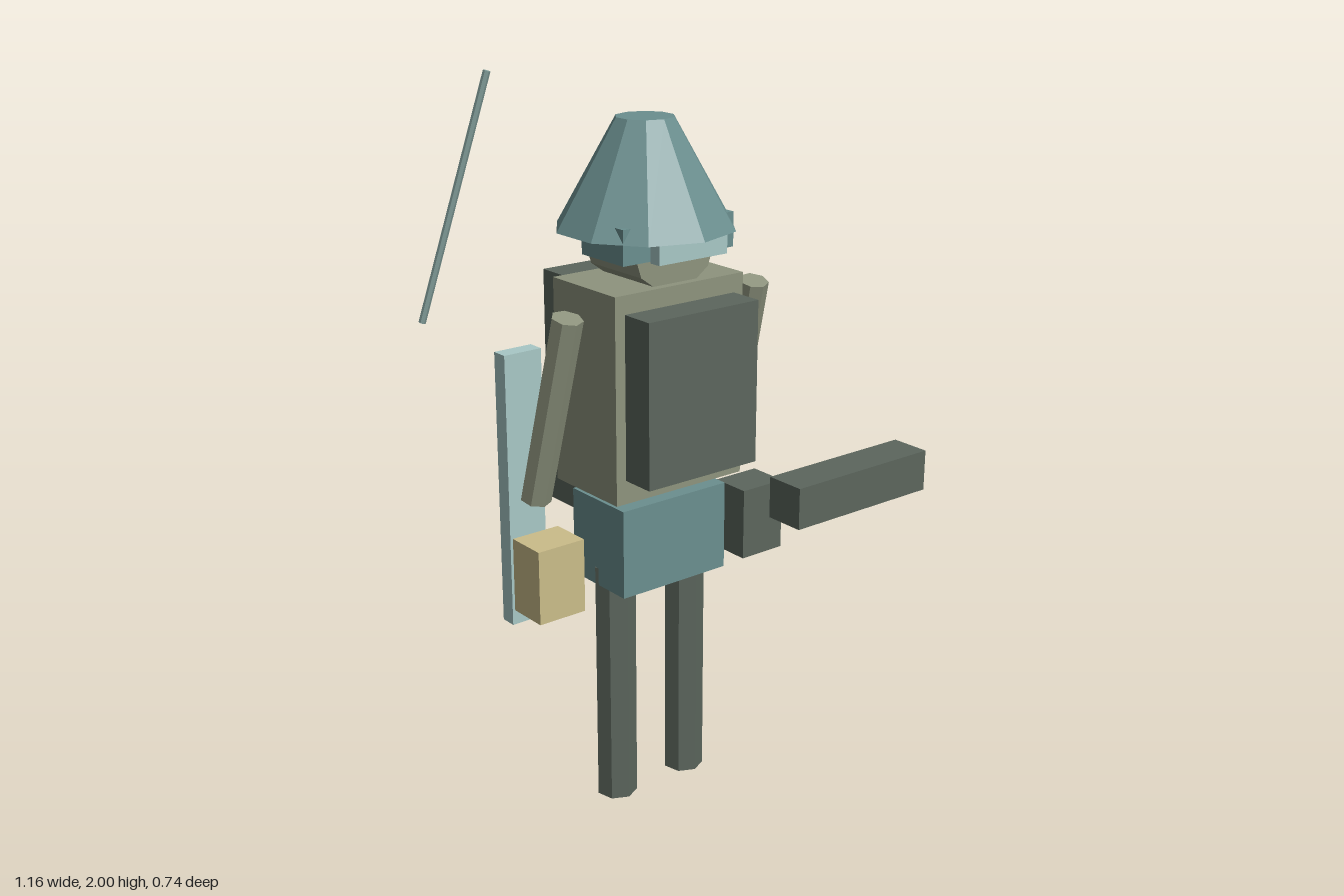
import * as THREE from 'three';

const mat = (color) => new THREE.MeshStandardMaterial({ color, flatShading: true });
const olive = mat(0x8e947e);
const dark = mat(0x5c665d);
const teal = mat(0x6b8f8f);
const pale = mat(0xa8c8c6);
const sand = mat(0xcbbd8a);
const rodGrey = mat(0x84a09c);

const MID = 0.015; // body's plane of symmetry

export function createModel() {
  const model = new THREE.Group();
  model.name = 'soldierFigure';

  const add = (name, geometry, material) => {
    const mesh = new THREE.Mesh(geometry, material);
    mesh.name = name;
    model.add(mesh);
    return mesh;
  };

  // Box given by its [min, max] on each axis
  const box = (name, material, [x0, x1], [y0, y1], [z0, z1]) =>
    add(name, new THREE.BoxGeometry(x1 - x0, y1 - y0, z1 - z0), material)
      .position.set((x0 + x1) / 2, (y0 + y1) / 2, (z0 + z1) / 2);

  // Straight faceted rod between two points
  const rod = (name, material, radius, sides, from, to) => {
    const a = new THREE.Vector3(...from);
    const b = new THREE.Vector3(...to);
    const dir = b.clone().sub(a);
    const mesh = add(name, new THREE.CylinderGeometry(radius, radius, dir.length(), sides), material);
    mesh.position.copy(a).add(b).multiplyScalar(0.5);
    mesh.quaternion.setFromUnitVectors(new THREE.Vector3(0, 1, 0), dir.normalize());
  };

  // Body
  box('torso', olive, [-0.19, 0.22], [0.91, 1.455], [-0.22, 0.04]);
  box('chestPlate', dark, [-0.16, 0.19], [0.973, 1.406], [0.03, 0.135]);
  box('backpack', dark, [-0.115, 0.145], [0.797, 1.435], [-0.372, -0.237]);
  box('pelvis', teal, [-0.155, 0.185], [0.637, 0.88], [-0.2, 0.02]);

  // Legs and arms
  for (const [side, s] of [['left', 1], ['right', -1]]) {
    rod(side + 'Leg', dark, 0.056, 7, [MID + s * 0.118, 0, -0.09], [MID + s * 0.118, 0.685, -0.09]);
    rod(side + 'Arm', olive, 0.041, 7, [MID + s * 0.32, 0.9, -0.155], [MID + s * 0.3, 1.405, -0.026]);
  }

  // Head: a drum lying front to back
  const head = add('head', new THREE.CylinderGeometry(0.132, 0.132, 0.208, 10, 1, false, Math.PI / 10), olive);
  head.rotation.x = Math.PI / 2;
  head.geometry.rotateY(Math.PI * 0.4);
  head.position.set(MID, 1.56, -0.086);
  box('brow', teal, [-0.16, 0.19], [1.525, 1.615], [-0.135, 0.035]);
  box('visor', pale, [-0.092, 0.123], [1.527, 1.59], [0.055, 0.09]);

  // Hat
  add('hat', new THREE.CylinderGeometry(0.076, 0.235, 0.277, 10), teal).position.set(MID, 1.716, -0.102);

  // Equipment
  box('rifle', dark, [0.13, 0.58], [0.871, 0.981], [0.26, 0.37]);
  box('leftPouch', dark, [0.285, 0.425], [0.62, 0.82], [-0.13, 0.015]);
  model.getObjectByName('leftPouch').scale.z = 0.8;
  model.getObjectByName('leftPouch').position.z = -0.073;
  box('rightPouch', sand, [-0.395, -0.255], [0.62, 0.82], [-0.13, -0.015]);
  box('scabbard', pale, [-0.38, -0.27], [0.56, 1.295], [-0.21, -0.165]);
  rod('antenna', rodGrey, 0.009, 6, [-0.575, 1.402, -0.22], [-0.432, 1.998, -0.117]);

  return model;
}
